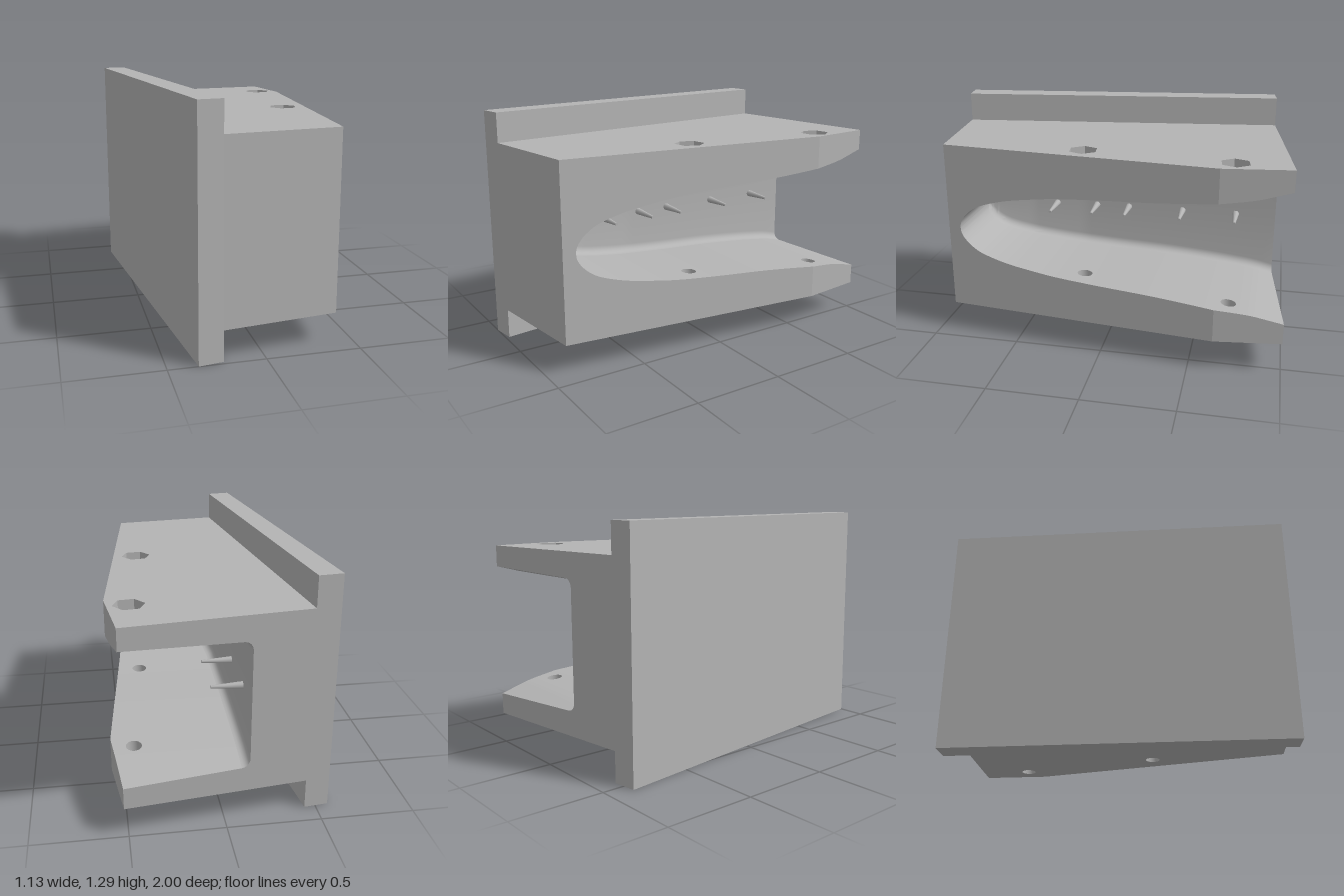
import * as THREE from 'three';
import { mergeGeometries, mergeVertices, toCreasedNormals } from 'three/addons/utils/BufferGeometryUtils.js';

const MID = 0.648, HALF = 0.4825;            // body centre height and half height
const HOLES = [[0.445, -0.70], [0.355, 0.12]]; // bolt positions (x, z)
const HOLE_R = 0.042, HEX_R = 0.082, HEX_DEPTH = 0.08, HEX_TURN = -0.13;
const lerp = THREE.MathUtils.lerp, mapLinear = THREE.MathUtils.mapLinear;

// Plan lines of the body
const rightX = z => z > -0.63 ? mapLinear(z, -0.63, 0.905, 0.565, 0.40) : mapLinear(z, -1, -0.63, 0.52, 0.565);
const backZ = x => mapLinear(x, -0.44, 0.52, -0.885, -1);
const floorX = z => z < 0.24 ? -0.13 : z < 0.56 ? mapLinear(z, 0.24, 0.56, -0.13, -0.10) : mapLinear(z, 0.56, 0.835, -0.10, -0.05);

// Half height of the pocket mouth along z
const table = pts => z => {
  for (let i = 1; i < pts.length; i++) {
    const [a, b] = [pts[i - 1], pts[i]];
    if (z >= b[0]) return lerp(a[1], b[1], (z - a[0]) / (b[0] - a[0]));
  }
  return pts[pts.length - 1][1];
};
const outline = new THREE.SplineCurve([[0.835, 0], [0.83, 0.03], [0.81, 0.065], [0.77, 0.105], [0.7, 0.145],
  [0.56, 0.186], [0.4, 0.213], [0.24, 0.233], [0, 0.25], [-0.3, 0.267], [-0.6, 0.293], [-0.8, 0.318],
  [-0.92, 0.345], [-1, 0.366]].map(p => new THREE.Vector2(...p))).getPoints(65).map(p => [p.x, p.y]);
const rawHeight = table(outline);
const stations = outline.map(p => p[0])
  .filter(z => z > -0.84 && Math.abs(z + 0.63) > 0.01 && HOLES.every(h => Math.abs(z - h[1]) > 0.06))
  .concat(-0.63, -0.85, -1, ...HOLES.flatMap(h => [h[1] - 0.055, h[1] + 0.055]))
  .sort((a, b) => b - a);
const height = table(stations.map(z => [z, rawHeight(z)]));
const fillet = z => Math.min(0.045, height(z));

// Geometry helpers
function grid(rows) {
  const n = rows[0].length, index = [];
  for (let i = 0; i + 1 < rows.length; i++) for (let j = 0; j + 1 < n; j++) {
    const a = i * n + j, b = a + n;
    index.push(a, b, a + 1, b, b + 1, a + 1);
  }
  const g = new THREE.BufferGeometry();
  g.setAttribute('position', new THREE.Float32BufferAttribute(rows.flat(2), 3));
  g.setIndex(index);
  return g;
}
function flip(g) {
  const a = g.index.array;
  for (let i = 0; i < a.length; i += 3) [a[i], a[i + 1]] = [a[i + 1], a[i]];
  return g;
}
function warp(g, rule) {
  const p = g.attributes.position;
  for (let i = 0; i < p.count; i++) p.setXYZ(i, ...rule(p.getX(i), p.getY(i), p.getZ(i)));
  return g;
}
const mirror = g => flip(warp(g.clone(), (x, y, z) => [x, 2 * MID - y, z]));
function finish(parts, crease = 0.6) {
  const bare = parts.map(g => { g.deleteAttribute('normal'); g.deleteAttribute('uv'); return g; });
  return toCreasedNormals(mergeVertices(mergeGeometries(bare), 1e-4), crease);
}
const ring = (x, z, r, n, turn = 0) => Array.from({ length: n }, (_, i) => {
  const a = turn + i / n * Math.PI * 2;
  return [x + r * Math.cos(a), z + r * Math.sin(a)];
});
const vecs = pts => pts.map(p => new THREE.Vector2(...p));
function flat(points, holes = []) {
  const s = new THREE.Shape(vecs(points));
  holes.forEach(h => s.holes.push(new THREE.Path(vecs(h))));
  return new THREE.ShapeGeometry(s);
}
// Horizontal sheet facing down, height by rule
const plan = (points, holes, y) => warp(flat(points, holes), (x, z) => [x, y(x, z), z]);
// Upright wall following a closed ring, seen from inside
const well = (pts, top, bottom) => {
  const loop = [...pts, pts[0]];
  return grid([loop.map(([x, z]) => [x, top, z]), loop.map(([x, z]) => [x, bottom(x, z), z])]);
};

export function createModel() {
  const group = new THREE.Group();
  const grey = new THREE.MeshStandardMaterial({ color: 0xb4b4b4, side: THREE.DoubleSide });
  const add = (name, geometry) => {
    const mesh = new THREE.Mesh(geometry, grey);
    mesh.name = name;
    group.add(mesh);
    return mesh;
  };
  const TOP = MID + HALF, BOTTOM = MID - HALF;
  const ceiling = (x, z) => MID + height(z);

  // Tall side flange
  const plate = new THREE.ExtrudeGeometry(
    new THREE.Shape(vecs([[-0.57, 0.87], [-0.345, -1], [-0.215, -0.98], [-0.44, 0.885]])),
    { depth: 1.295, bevelEnabled: false });
  add('sideFlange', plate.rotateX(-Math.PI / 2));

  // Body top with hexagonal recesses, body bottom with round holes
  const footprint = [[-0.44, -0.885], [0.52, -1], [0.565, -0.63], [0.40, 0.905], [-0.215, 0.98]];
  const hexes = HOLES.map(([x, z]) => ring(x, z, HEX_R, 6, HEX_TURN));
  const rounds = HOLES.map(([x, z]) => ring(x, z, HOLE_R, 24));
  add('bodyTop', finish([flip(plan(footprint, hexes, () => TOP))]));
  add('bodyBottom', finish([plan(footprint, rounds, () => BOTTOM)]));

  // Front end
  add('bodyFront', finish([grid([TOP, BOTTOM].map(y => [[-0.215, y, 0.98], [0.40, y, 0.905]]))]));

  // Right side around the pocket mouth
  const lip = grid([z => TOP, ceiling.bind(null, 0)].map(f => stations.map(z => [rightX(z), f(z), z])));
  const nose = grid([TOP, BOTTOM].map(y => [0.905, stations[0]].map(z => [rightX(z), y, z])));
  add('bodyRightSide', finish([lip, mirror(lip), nose], 0.05));

  // Pocket: flat floor with filleted edges, then the upper and lower walls
  const section = z0 => {
    const half = [];
    const put = (f, x) => {
      const z = Math.max(z0, backZ(x)), r = fillet(z);
      half.push([x, MID + height(z) - r + r * f, z]);
    };
    const r = fillet(Math.max(z0, -0.922));
    half.push([floorX(z0), MID, Math.max(z0, backZ(floorX(z0)))]);
    for (let k = 0; k <= 6; k++) {
      const a = k / 6 * Math.PI / 2;
      put(Math.sin(a), floorX(z0) + r * (1 - Math.cos(a)));
    }
    return half;
  };
  const sections = stations.map(section);
  const floor = flip(grid(sections));
  const walls = [];
  for (let i = 0; i + 1 < stations.length; i++) {
    const a = sections[i][7], b = sections[i + 1][7];
    const [za, zb] = [stations[i], stations[i + 1]];
    const holes = rounds.filter((_, k) => HOLES[k][1] < za && HOLES[k][1] > zb);
    walls.push(plan([[a[0], a[2]], [rightX(za), za], [rightX(zb), zb], [b[0], b[2]]], holes, ceiling));
  }
  const upper = [floor, ...walls].map(g => { g.deleteAttribute('normal'); g.deleteAttribute('uv'); return g; });
  add('pocket', finish([...upper, ...upper.map(mirror)]));

  // Back end, a C-shaped face
  const rim = sections[sections.length - 1].map(p => [p[0], p[1]]).concat([[0.52, MID + height(-1)]]);
  const lower = rim.slice(1).map(([x, y]) => [x, 2 * MID - y]).reverse();
  const back = flat([[-0.44, BOTTOM], [0.52, BOTTOM], ...lower, ...rim, [0.52, TOP], [-0.44, TOP]]);
  add('bodyBack', finish([flip(warp(back, (x, y) => [x, y, backZ(x)]))]));

  // Bolt holes: hexagonal recess, its seat and the round bores
  HOLES.forEach((_, i) => {
    const seat = TOP - HEX_DEPTH;
    add('hexRecess', finish([well(hexes[i], TOP, () => seat),
      flip(plan(hexes[i], [rounds[i]], () => seat))]));
    add('upperBore', finish([well(rounds[i], seat, ceiling)]));
    add('lowerBore', finish([flip(well(rounds[i], BOTTOM, (x, z) => 2 * MID - ceiling(x, z)))]));
  });

  // Small tapered pins on the pocket floor
  [-0.69, -0.37, -0.04, 0.16, 0.41].forEach(z => {
    const pin = add('floorPin', new THREE.CylinderGeometry(0.008, 0.021, 0.18, 10));
    pin.rotation.z = -Math.PI / 2;
    pin.position.set(floorX(z) + 0.08, MID + 0.004, z);
  });
  return group;
}
